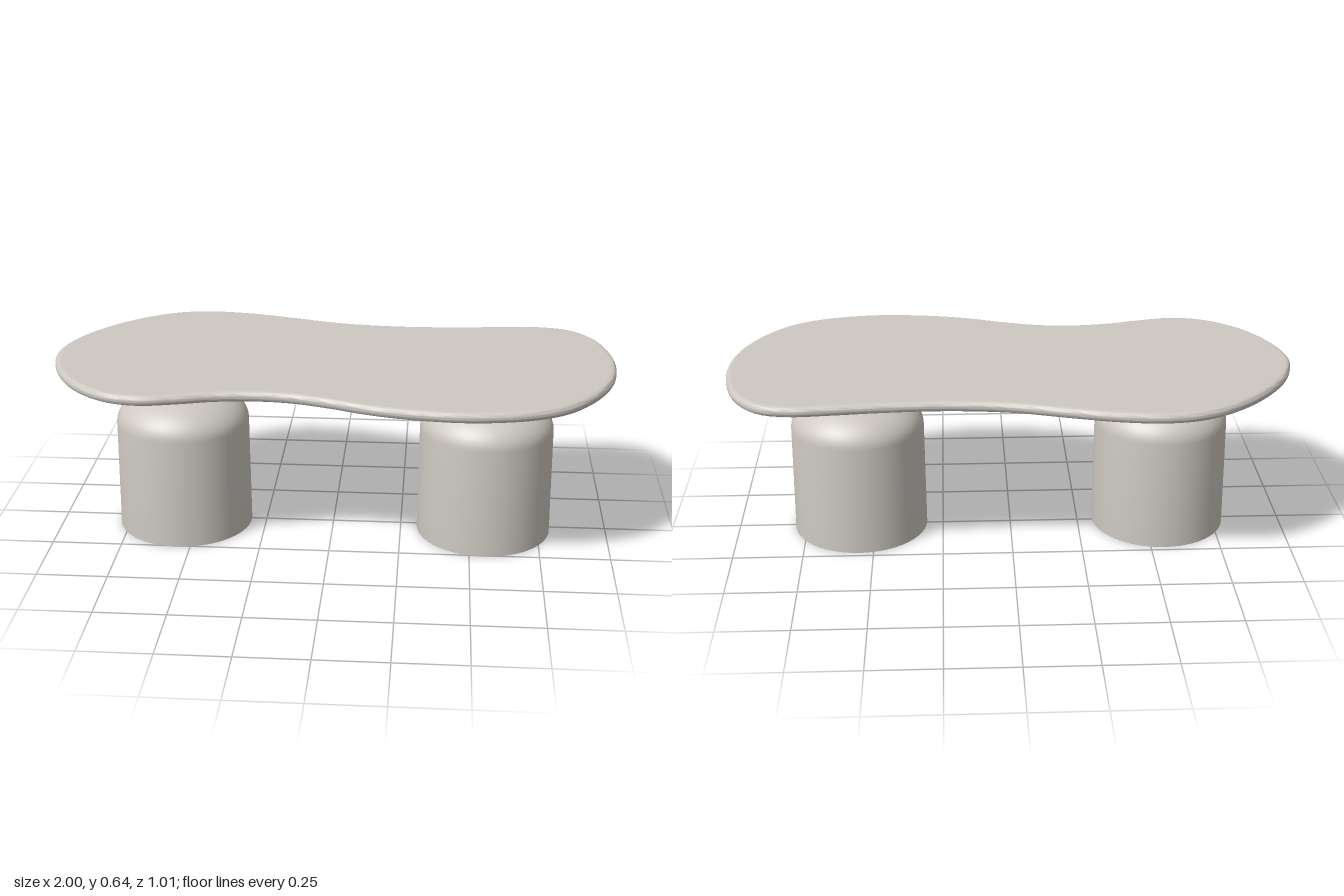
import * as THREE from 'three';
import { toCreasedNormals } from 'three/addons/utils/BufferGeometryUtils.js';

const stone = new THREE.MeshStandardMaterial({ color: 0xcdc8c1 });
stone.name = 'warm grey stone';

const TOP_Y = 0.643, UNDER_Y = 0.605, JOINT_Y = 0.521;

// Outline of the slab seen from above, as x, z
const OUTLINE = [
  [-1, 0], [-0.97, -0.14], [-0.9, -0.265], [-0.78, -0.395], [-0.64, -0.482], [-0.5, -0.507],
  [-0.34, -0.49], [-0.2, -0.455], [0, -0.4], [0.15, -0.38], [0.28, -0.375], [0.45, -0.383],
  [0.62, -0.398], [0.75, -0.405], [0.86, -0.377], [0.94, -0.29], [0.985, -0.16], [1, -0.02],
  [0.98, 0.13], [0.92, 0.27], [0.82, 0.395], [0.7, 0.463], [0.5, 0.502], [0.3, 0.49],
  [0.15, 0.457], [0, 0.403], [-0.12, 0.37], [-0.25, 0.36], [-0.38, 0.374], [-0.5, 0.405],
  [-0.63, 0.428], [-0.75, 0.402], [-0.87, 0.31], [-0.96, 0.165],
];

function mesh(name, geometry) {
  const m = new THREE.Mesh(geometry, stone);
  m.name = name;
  return m;
}

// Free-form slab with a fully rounded rim
function slabGeometry() {
  const curve = new THREE.CatmullRomCurve3(OUTLINE.map(([x, z]) => new THREE.Vector3(x, z, 0)), true);
  const pts = curve.getSpacedPoints(180).slice(0, -1).map(p => new THREE.Vector2(p.x, p.y));
  const bevel = 0.017, thickness = TOP_Y - UNDER_Y;
  let geo = new THREE.ExtrudeGeometry(new THREE.Shape(pts), {
    depth: thickness - 2 * bevel, bevelThickness: bevel, bevelSize: 0.018, bevelOffset: -0.018, bevelSegments: 6,
  });
  geo.rotateX(Math.PI / 2);
  geo.translate(0, TOP_Y - bevel, 0);
  geo = toCreasedNormals(geo, 0.7);
  // Keep the two large faces perfectly flat
  const pos = geo.attributes.position, nor = geo.attributes.normal;
  for (let i = 0; i < pos.count; i += 3) {
    for (const [y, ny] of [[TOP_Y, 1], [UNDER_Y, -1]]) {
      if ([0, 1, 2].every(k => Math.abs(pos.getY(i + k) - y) < 1e-4)) {
        for (let k = 0; k < 3; k++) nor.setXYZ(i + k, 0, ny, 0);
      }
    }
  }
  return geo;
}

// Slightly tapered drum with a domed shoulder
function drumGeometry() {
  const p = [new THREE.Vector2(0, 0), new THREE.Vector2(0.243, 0)];
  const shoulder = 0.4, flat = 0.03;
  for (let i = 0; i <= 14; i++) {
    const a = (i / 14) * Math.PI / 2;
    p.push(new THREE.Vector2(flat + (0.239 - flat) * Math.cos(a), shoulder + (JOINT_Y - shoulder) * Math.sin(a)));
  }
  p.push(new THREE.Vector2(0, JOINT_Y));
  return toCreasedNormals(new THREE.LatheGeometry(p, 72), 0.6);
}

// Shallow spherical bowl between drum and slab
function bowlGeometry() {
  const r = 0.229, h = UNDER_Y - JOINT_Y, R = (r * r + h * h) / (2 * h), max = Math.asin(r / R);
  const p = [];
  for (let i = 0; i <= 14; i++) {
    const a = (i / 14) * max;
    p.push(new THREE.Vector2(R * Math.sin(a), JOINT_Y + R * (1 - Math.cos(a))));
  }
  p.push(new THREE.Vector2(0, UNDER_Y + 0.001));
  return toCreasedNormals(new THREE.LatheGeometry(p, 72), 0.6);
}

export function createModel() {
  const table = new THREE.Group();
  table.name = 'table';
  table.add(mesh('tableTop', slabGeometry()));
  const drum = drumGeometry(), bowl = bowlGeometry();
  for (const [name, x] of [['rightLeg', -0.548], ['leftLeg', 0.552]]) {
    const leg = new THREE.Group();
    leg.name = name;
    leg.add(mesh('drum', drum), mesh('bowl', bowl));
    leg.position.set(x, 0, 0.013);
    table.add(leg);
  }
  return table;
}
